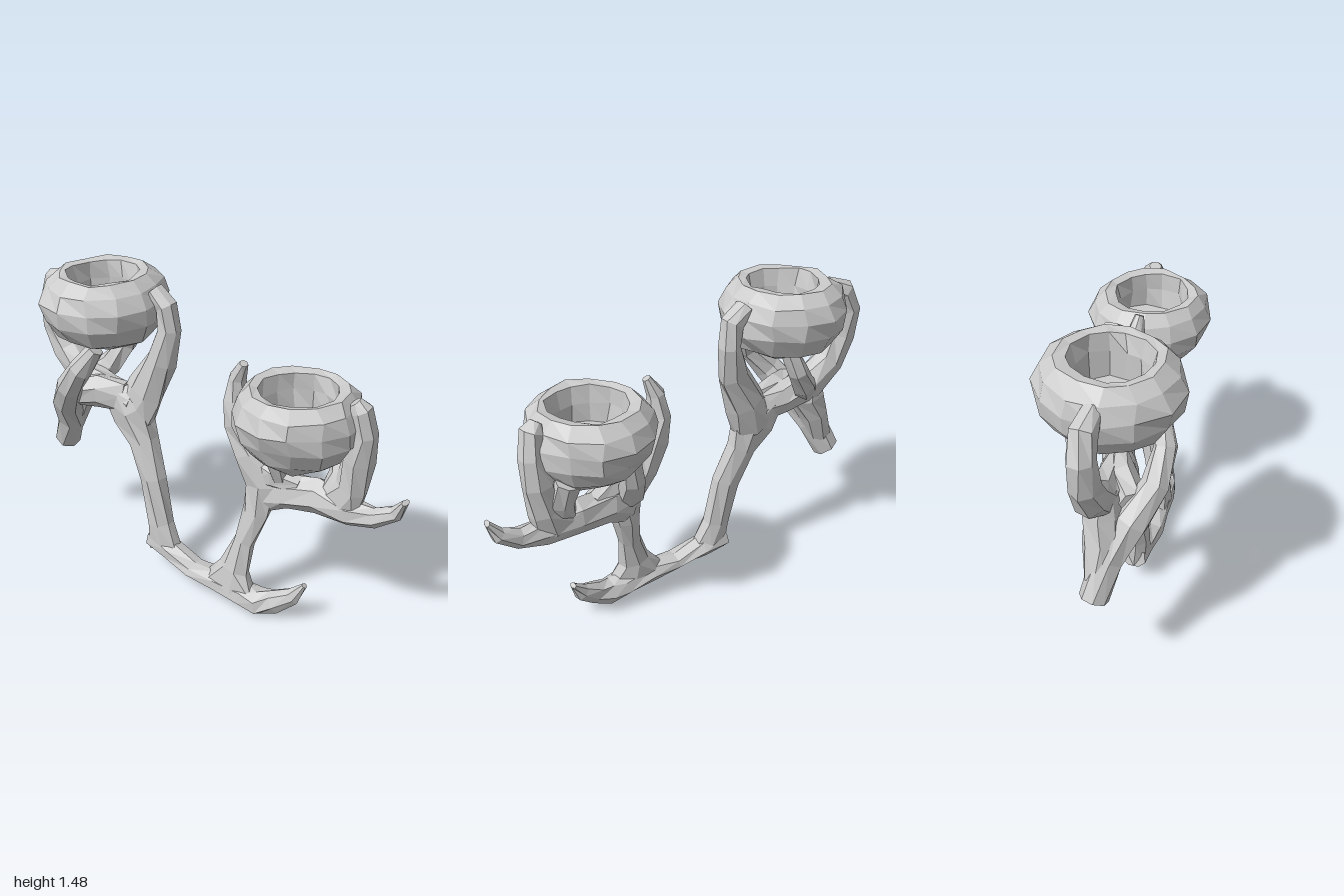
import * as THREE from 'three';
import { mergeVertices } from 'three/addons/utils/BufferGeometryUtils.js';

const material = new THREE.MeshStandardMaterial({ color: 0xcccccc, flatShading: true });

let seed = 7;
const jitter = (amount) => {
  seed = (seed * 16807) % 2147483647;
  return (seed / 2147483647 - 0.5) * 2 * amount;
};

// Slanted flat underside of the base
const floorAt = (x) => Math.max(0, 0.1 - 0.152 * (x + 0.28));

// Faceted limb; each station is [x, y, z, half width, half depth]
function limb(name, stations, sides = 7) {
  const curve = new THREE.CatmullRomCurve3(stations.map((s) => new THREE.Vector3(s[0], s[1], s[2])));
  const rings = stations.length - 1;
  const positions = [], index = [];
  const zAxis = new THREE.Vector3(0, 0, 1);
  const put = (p) => positions.push(p.x, Math.max(p.y, floorAt(p.x)), p.z);
  stations.forEach(([, , , width, depth], i) => {
    const p = curve.getPoint(i / rings), T = curve.getTangent(i / rings);
    const N = new THREE.Vector3().crossVectors(zAxis, T).normalize();
    const B = new THREE.Vector3().crossVectors(T, N);
    for (let j = 0; j < sides; j++) {
      const a = ((j + (i % 2) * 0.25) / sides) * Math.PI * 2;
      const r = 1.06 + jitter(0.08);
      put(p.clone().addScaledVector(N, Math.cos(a) * width * r).addScaledVector(B, Math.sin(a) * depth * r));
    }
  });
  const start = positions.length / 3;
  put(curve.getPoint(0));
  put(curve.getPoint(1));
  for (let j = 0; j < sides; j++) {
    const n = (j + 1) % sides;
    for (let i = 0; i < rings; i++) {
      const a = i * sides + j, b = i * sides + n;
      index.push(a, b, a + sides, b, b + sides, a + sides);
    }
    index.push(start, n, j, start + 1, rings * sides + j, rings * sides + n);
  }
  const geometry = new THREE.BufferGeometry();
  geometry.setAttribute('position', new THREE.Float32BufferAttribute(positions, 3));
  geometry.setIndex(index);
  geometry.computeVertexNormals();
  const mesh = new THREE.Mesh(geometry, material);
  mesh.name = name;
  return mesh;
}

// Thick rounded cup with a hollow in the top
function cup(name, profile, x, y, z, tiltX, tiltZ) {
  let geometry = new THREE.LatheGeometry(profile.map(([r, h]) => new THREE.Vector2(r, h)), 13);
  geometry.deleteAttribute('uv');
  geometry.deleteAttribute('normal');
  geometry = mergeVertices(geometry, 1e-4);
  const p = geometry.attributes.position;
  for (let i = 0; i < p.count; i++) {
    p.setXYZ(i, p.getX(i) + jitter(0.012), p.getY(i) + jitter(0.005), p.getZ(i) + jitter(0.012));
  }
  geometry.computeVertexNormals();
  const mesh = new THREE.Mesh(geometry, material);
  mesh.name = name;
  mesh.position.set(x, y, z);
  mesh.rotation.set(tiltX, 0, tiltZ);
  return mesh;
}

export function createModel() {
  const model = new THREE.Group();
  model.name = 'branchCandleHolder';

  // Base bar with an upturned tip
  model.add(limb('base', [
    [-0.28, 0.14, 0.06, 0.06, 0.055], [-0.15, 0.12, 0.06, 0.05, 0.06], [0, 0.08, 0.07, 0.035, 0.06],
    [0.15, 0.08, 0.06, 0.05, 0.065], [0.3, 0.06, 0.05, 0.06, 0.07], [0.385, 0.05, 0.045, 0.065, 0.065],
    [0.46, 0.085, 0.03, 0.055, 0.05], [0.54, 0.14, 0, 0.04, 0.035], [0.59, 0.21, -0.02, 0.012, 0.018],
  ]));

  // Right-hand trunk and the limbs that hold the higher cup
  const high = new THREE.Group();
  high.name = 'highBranch';
  high.add(
    limb('trunk', [
      [-0.2, 0.12, 0.06, 0.09, 0.055], [-0.23, 0.25, 0.06, 0.065, 0.055], [-0.28, 0.48, 0.05, 0.062, 0.06],
      [-0.35, 0.66, 0.04, 0.072, 0.065], [-0.42, 0.79, 0.04, 0.125, 0.07], [-0.5, 0.88, 0.04, 0.09, 0.065],
    ]),
    limb('innerArm', [
      [-0.42, 0.77, 0.03, 0.11, 0.065], [-0.35, 0.92, 0.01, 0.095, 0.07], [-0.265, 1.09, -0.01, 0.07, 0.06],
      [-0.228, 1.25, -0.03, 0.052, 0.055], [-0.24, 1.36, -0.03, 0.05, 0.05], [-0.31, 1.42, -0.02, 0.035, 0.045],
    ]),
    limb('outerArm', [
      [-0.4, 0.84, 0.04, 0.08, 0.06], [-0.57, 0.87, 0.04, 0.075, 0.065], [-0.73, 0.91, 0.04, 0.08, 0.07],
      [-0.85, 1.01, 0.04, 0.075, 0.065], [-0.915, 1.13, 0.04, 0.07, 0.06], [-0.935, 1.26, 0.04, 0.06, 0.055],
      [-0.9, 1.36, 0.04, 0.058, 0.055], [-0.81, 1.39, 0.05, 0.045, 0.04],
    ]),
    limb('frontArmAndFoot', [
      [-0.46, 1.17, 0.22, 0.035, 0.04], [-0.53, 1.06, 0.26, 0.055, 0.05], [-0.63, 0.94, 0.245, 0.062, 0.06],
      [-0.73, 0.81, 0.17, 0.07, 0.07], [-0.805, 0.66, 0.09, 0.068, 0.062], [-0.89, 0.5, 0.055, 0.067, 0.06],
    ]),
    limb('frontWeb', [
      [-0.45, 0.87, 0.05, 0.08, 0.05], [-0.58, 0.88, 0.1, 0.08, 0.065], [-0.7, 0.87, 0.17, 0.065, 0.06],
    ]),
    limb('footWeb', [
      [-0.85, 0.58, 0.06, 0.055, 0.05], [-0.79, 0.72, 0.06, 0.065, 0.07], [-0.74, 0.84, 0.06, 0.085, 0.08],
      [-0.73, 0.93, 0.05, 0.07, 0.06],
    ]),
    limb('backArm', [
      [-0.52, 1.18, -0.08, 0.04, 0.04], [-0.57, 1.07, -0.1, 0.045, 0.045], [-0.64, 0.96, -0.05, 0.055, 0.05],
      [-0.72, 0.88, 0.03, 0.06, 0.05],
    ], 6),
    cup('highCup', [
      [0, -0.185], [0.13, -0.17], [0.235, -0.12], [0.29, -0.03], [0.3, 0.05], [0.27, 0.12], [0.215, 0.168],
      [0.17, 0.16], [0.155, 0.08], [0.15, -0.04], [0, -0.05],
    ], -0.56, 1.31, 0.045, 0.02, 0.02),
  );

  // Left-hand trunk and the limbs that hold the lower cup
  const low = new THREE.Group();
  low.name = 'lowBranch';
  low.add(
    limb('trunk', [
      [0.22, 0.08, 0.06, 0.15, 0.06], [0.235, 0.19, 0.05, 0.075, 0.055], [0.27, 0.34, 0.02, 0.05, 0.05],
      [0.305, 0.5, -0.02, 0.062, 0.055], [0.32, 0.64, -0.04, 0.095, 0.065], [0.25, 0.78, -0.05, 0.085, 0.08],
      [0.18, 0.91, -0.05, 0.08, 0.08], [0.15, 1.02, -0.05, 0.055, 0.06], [0.155, 1.12, -0.05, 0.037, 0.04],
      [0.195, 1.2, -0.04, 0.018, 0.02],
    ]),
    limb('outerArm', [
      [0.3, 0.58, -0.04, 0.08, 0.055], [0.42, 0.635, -0.07, 0.08, 0.065], [0.58, 0.655, -0.1, 0.08, 0.07],
      [0.74, 0.635, -0.11, 0.065, 0.06], [0.86, 0.645, -0.12, 0.045, 0.045], [0.95, 0.7, -0.135, 0.035, 0.035],
      [0.99, 0.77, -0.13, 0.012, 0.025],
    ]),
    limb('outerRiser', [
      [0.68, 0.64, -0.11, 0.11, 0.06], [0.735, 0.75, -0.12, 0.075, 0.065], [0.755, 0.89, -0.13, 0.07, 0.07],
      [0.775, 1.02, -0.12, 0.052, 0.06], [0.755, 1.13, -0.11, 0.045, 0.05], [0.73, 1.165, -0.1, 0.025, 0.03],
    ]),
    limb('innerWeb', [[0.28, 0.7, -0.05, 0.09, 0.05], [0.38, 0.71, -0.05, 0.065, 0.055], [0.49, 0.68, -0.08, 0.05, 0.05]]),
    limb('backProng', [[0.3, 0.64, -0.07, 0.07, 0.05], [0.32, 0.77, -0.13, 0.055, 0.05], [0.34, 0.91, -0.17, 0.05, 0.04]]),
    limb('backWeb', [[0.66, 0.68, -0.11, 0.08, 0.05], [0.67, 0.78, -0.15, 0.06, 0.045], [0.64, 0.89, -0.19, 0.06, 0.04]]),
    limb('cupPeg', [[0.42, 0.71, -0.03, 0.03, 0.03], [0.4, 0.85, 0.02, 0.04, 0.04]], 5),
    cup('lowCup', [
      [0, -0.18], [0.15, -0.17], [0.23, -0.11], [0.275, -0.03], [0.292, 0.05], [0.27, 0.12], [0.22, 0.168],
      [0.18, 0.16], [0.172, 0.08], [0.165, -0.01], [0, -0.02],
    ], 0.48, 1, -0.06, 0, 0.02),
  );

  model.add(high, low);
  return model;
}
